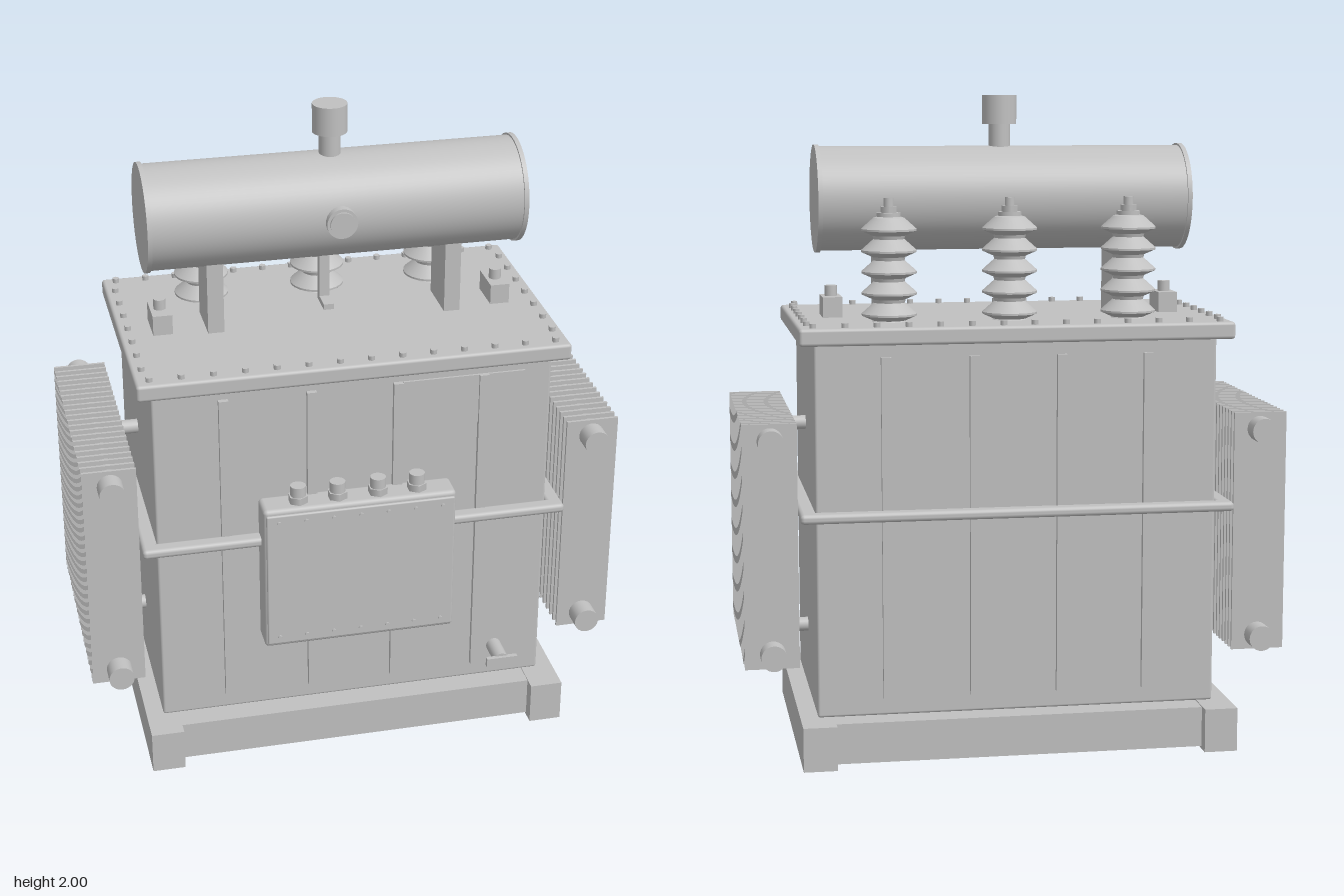
import * as THREE from 'three';
import { RoundedBoxGeometry } from 'three/addons/geometries/RoundedBoxGeometry.js';

export function createModel() {
  const model = new THREE.Group();
  model.name = 'powerTransformer';
  const grey = new THREE.MeshStandardMaterial({ color: 0xc0c0c0 });
  grey.name = 'paintedGrey';

  const add = (name, geo, x = 0, y = 0, z = 0, parent = model) => {
    const m = new THREE.Mesh(geo, grey);
    m.name = name;
    m.position.set(x, y, z);
    parent.add(m);
    return m;
  };
  const group = (name, parent = model) => {
    const g = new THREE.Group();
    g.name = name;
    parent.add(g);
    return g;
  };
  // box given by its minimum and maximum on each axis
  const box = (name, x0, x1, y0, y1, z0, z1, parent = model, r = 0) => {
    const s = [x1 - x0, y1 - y0, z1 - z0];
    const geo = r ? new RoundedBoxGeometry(...s, 2, r) : new THREE.BoxGeometry(...s);
    return add(name, geo, (x0 + x1) / 2, (y0 + y1) / 2, (z0 + z1) / 2, parent);
  };
  // cylinder centred at a point, lying along the given axis
  const cyl = (name, axis, r, len, x, y, z, parent = model, sides = 28) => {
    const geo = new THREE.CylinderGeometry(r, r, len, sides);
    if (axis === 'x') geo.rotateZ(Math.PI / 2);
    if (axis === 'z') geo.rotateX(Math.PI / 2);
    return add(name, geo, x, y, z, parent);
  };

  // base frame: channels open at the bottom
  const base = group('baseFrame');
  const t = 0.008;
  for (const s of [-1, 1]) {
    const skid = group('skid', base);
    const cx = s * 0.616;
    box('skidTop', cx - 0.051, cx + 0.051, 0.135 - t, 0.135, -0.45, 0.45, skid);
    for (const e of [-1, 1]) {
      const wx = cx + e * (0.051 - t / 2), ez = e * (0.45 - t / 2);
      box('skidWall', wx - t / 2, wx + t / 2, 0, 0.135, -0.45, 0.45, skid);
      box('skidEnd', cx - 0.051, cx + 0.051, 0, 0.135, ez - t / 2, ez + t / 2, skid);
    }
    const beam = group('crossBeam', base);
    const cz = s * 0.36;
    box('beamTop', -0.565, 0.565, 0.132 - t, 0.132, cz - 0.05, cz + 0.05, beam);
    for (const e of [-1, 1]) {
      const wz = cz + e * (0.05 - t / 2);
      box('beamWall', -0.565, 0.565, 0.008, 0.132, wz - t / 2, wz + t / 2, beam);
    }
  }

  // tank, stiffening ribs, belt and plate
  box('tank', -0.614, 0.614, 0.135, 1.28, -0.344, 0.344, model, 0.008);
  for (const x of [-0.4, -0.133, 0.133, 0.4])
    for (const s of [-1, 1])
      add('tankRib', new THREE.BoxGeometry(0.03, 1.04, 0.024), x, 0.71, s * 0.348);
  const belt = group('tankBelt');
  for (const s of [-1, 1]) {
    add('beltLong', new RoundedBoxGeometry(1.325, 0.03, 0.05, 2, 0.012), 0, 0.755, s * 0.373, belt);
    add('beltShort', new RoundedBoxGeometry(0.05, 0.03, 0.78, 2, 0.012), s * 0.637, 0.755, 0, belt);
  }
  box('ratingPlate', 0.15, 0.53, 1.07, 1.23, 0.344, 0.351);

  // lid with bolts around the rim
  box('lid', -0.66, 0.66, 1.27, 1.322, -0.393, 0.393, model, 0.01);
  const bolts = group('lidBolts');
  const bolt = (x, z) => cyl('lidBolt', 'y', 0.011, 0.016, x, 1.328, z, bolts, 6);
  for (let i = 0; i < 14; i++)
    for (const s of [-1, 1]) bolt(-0.618 + i * 0.095, s * 0.36);
  for (let i = 0; i < 7; i++)
    for (const s of [-1, 1]) bolt(s * 0.63, -0.285 + i * 0.095);

  // lifting lugs
  for (const s of [-1, 1]) {
    const lug = group('liftingLug');
    box('lugBlock', s * 0.53 - 0.03, s * 0.53 + 0.03, 1.32, 1.385, -0.06, 0.06, lug);
    cyl('lugStud', 'y', 0.019, 0.035, s * 0.53, 1.4, 0, lug, 16);
  }

  // oil conservator on its supports
  const conservator = group('conservator');
  cyl('conservatorDrum', 'x', 0.16, 1.13, 0, 1.685, 0, conservator, 64);
  for (const s of [-1, 1]) {
    cyl('conservatorFlange', 'x', 0.166, 0.014, s * 0.572, 1.685, 0, conservator, 64);
    box('conservatorSupport', s * 0.37 - 0.025, s * 0.37 + 0.025, 1.32, 1.58, -0.08, 0.08, conservator);
  }
  box('oilPipe', -0.016, 0.016, 1.32, 1.57, -0.1, -0.075, conservator);
  box('oilPipeFoot', -0.016, 0.016, 1.32, 1.34, -0.1, -0.01, conservator);
  cyl('levelGauge', 'z', 0.047, 0.06, 0, 1.685, 0.15, conservator);
  cyl('levelGaugeFace', 'z', 0.038, 0.01, 0, 1.685, 0.182, conservator);
  cyl('breatherNeck', 'y', 0.033, 0.1, 0, 1.87, 0, conservator);
  cyl('breatherCap', 'y', 0.053, 0.088, 0, 1.956, 0, conservator);

  // ribbed insulator bushings
  const profile = [[0, 1.32], [0.055, 1.32]];
  for (let i = 0; i < 5; i++) {
    const y = 1.343 + i * 0.064;
    profile.push([0.05, y - 0.018], [0.084, y - 0.003], [0.084, y + 0.003], [0.047, y + 0.036]);
  }
  profile.push([0.036, 1.638], [0.036, 1.65], [0, 1.65]);
  // repeated profile points keep the shed edges sharp
  const sharp = [];
  profile.forEach(([r, y]) => sharp.push(new THREE.Vector2(r, y), new THREE.Vector2(r, y + 1e-5)));
  const bushingGeo = new THREE.LatheGeometry(sharp, 32);
  for (const x of [-0.37, 0, 0.37]) {
    const b = group('bushing');
    add('insulator', bushingGeo, x, 0, -0.19, b);
    cyl('terminalNut', 'y', 0.026, 0.02, x, 1.658, -0.19, b, 6);
    cyl('terminalStud', 'y', 0.015, 0.04, x, 1.674, -0.19, b, 16);
  }

  // cooling radiators on both sides
  for (const s of [-1, 1]) {
    const rad = group(s > 0 ? 'leftRadiator' : 'rightRadiator');
    for (let i = 0; i < 22; i++)
      add('radiatorFin', new THREE.BoxGeometry(0.164, 0.742, 0.009), s * 0.75, 0.67, -0.36 + i * 0.0343, rad);
    for (const y of [0.345, 0.99]) {
      cyl('headerPipe', 'z', 0.039, 0.852, s * 0.748, y, 0, rad);
      cyl('tankPipe', 'x', 0.022, 0.12, s * 0.655, y, 0, rad, 20);
    }
  }

  // control cabinet with bolted door and cable glands
  const cabinet = group('controlCabinet');
  box('cabinetBody', -0.3, 0.3, 0.4, 0.885, 0.34, 0.436, cabinet, 0.014);
  box('cabinetDoor', -0.293, 0.293, 0.415, 0.87, 0.434, 0.445, cabinet, 0.005);
  for (let i = 0; i < 7; i++)
    for (const y of [0.44, 0.845])
      cyl('doorBolt', 'z', 0.007, 0.008, -0.255 + i * 0.085, y, 0.447, cabinet, 8);
  for (const x of [-0.185, -0.063, 0.063, 0.185]) {
    cyl('glandNut', 'y', 0.031, 0.025, x, 0.895, 0.392, cabinet, 6);
    cyl('gland', 'y', 0.024, 0.05, x, 0.915, 0.392, cabinet, 20);
  }

  // drain valve
  const valve = group('drainValve');
  cyl('valvePipe', 'z', 0.024, 0.1, 0.465, 0.243, 0.385, valve, 20);
  add('valveHandle', new THREE.BoxGeometry(0.1, 0.03, 0.015), 0.465, 0.243, 0.438, valve);
  return model;
}
